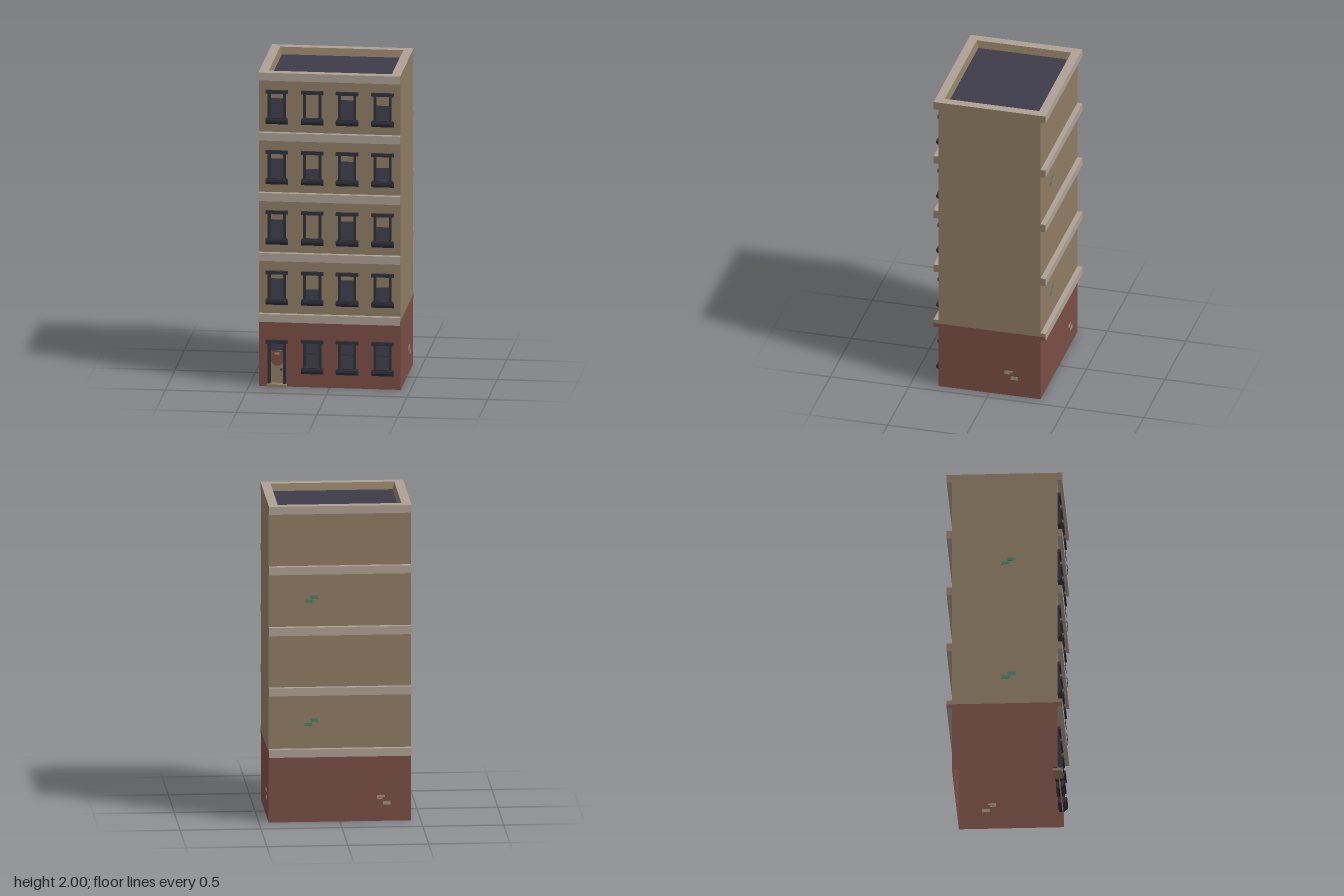
import * as THREE from 'three';

const W = 0.44, D = 0.325, SPLIT = 0.44, TOP = 2, OUT = 0.357;
const COLUMNS = [-0.328, -0.108, 0.108, 0.328];
const SILLS = [0.12, 0.555, 0.938, 1.321, 1.704]; // top of the sill on each storey
const BLINDS = [ // fraction of each window covered by its blind
  [0, 0, 0, 0],
  [0.2, 0.6, 0.2, 0.44],
  [0.25, 1, 0.25, 0.44],
  [0.22, 0.6, 0.27, 0.48],
  [0.22, 1, 0.22, 0.4],
];
const OPEN_H = 0.16;

function mat(name, color, side = THREE.FrontSide) {
  const m = new THREE.MeshStandardMaterial({ color, side });
  m.name = name;
  return m;
}

export function createModel() {
  const tan = mat('tan wall', 0x8f7d64, THREE.DoubleSide);
  const red = mat('red brick', 0x7a4e45, THREE.DoubleSide);
  const stone = mat('pale stone', 0xaea194);
  const roofGrey = mat('roof slate', 0x3d3c48, THREE.DoubleSide);
  const frame = mat('window frame', 0x30313b);
  const glass = mat('dark glass', 0x3f404d, THREE.DoubleSide);
  const paleBrick = mat('pale brick', 0xa39280);
  const green = mat('green brick', 0x4a8068);

  const model = new THREE.Group();
  model.name = 'apartmentBuilding';

  const add = (parent, name, geo, material, x = 0, y = 0, z = 0, ry = 0) => {
    const m = new THREE.Mesh(geo, material);
    m.name = name;
    m.position.set(x, y, z);
    m.rotation.y = ry;
    parent.add(m);
    return m;
  };
  // box given by its x centre, width, and y and z ranges
  const box = (parent, name, material, x, w, y0, y1, z0, z1) =>
    add(parent, name, new THREE.BoxGeometry(w, y1 - y0, z1 - z0), material, x, (y0 + y1) / 2, (z0 + z1) / 2);

  const rect = (Type, x0, x1, y0, y1) => {
    const s = new Type();
    s.moveTo(x0, y0);
    s.lineTo(x1, y0);
    s.lineTo(x1, y1);
    s.lineTo(x0, y1);
    s.closePath();
    return s;
  };

  // hollow walls, open underneath; the front is pierced by the windows and door
  [['groundFloor', red, 0, SPLIT], ['upperFloors', tan, SPLIT, TOP]].forEach(([name, material, y0, y1]) => {
    const h = y1 - y0, mid = (y0 + y1) / 2;
    const face = rect(THREE.Shape, -W, W, y0, y1);
    SILLS.forEach((s, f) => {
      if (s < y0 || s > y1) return;
      COLUMNS.forEach((x, c) => {
        const bottom = f === 0 && c === 0 ? 0.005 : s - 0.01;
        face.holes.push(rect(THREE.Path, x - 0.05, x + 0.05, bottom, s + OPEN_H + 0.005));
      });
    });
    add(model, name + 'FrontWall', new THREE.ShapeGeometry(face), material, 0, 0, D);
    add(model, name + 'BackWall', new THREE.PlaneGeometry(2 * W, h), material, 0, mid, -D, Math.PI);
    for (const s of [-1, 1])
      add(model, name + 'SideWall', new THREE.PlaneGeometry(2 * D, h), material, s * W, mid, 0, s * Math.PI / 2);
  });

  // stone bands on front and back, their ends matching the side walls
  const bands = [[0.415, SPLIT, red], [SPLIT, 0.465, tan], [0.803, 0.853, tan], [1.183, 1.235, tan],
    [1.568, 1.618, tan], [1.95, TOP, tan]];
  for (const [y0, y1, end] of bands)
    for (const s of [-1, 1])
      box(model, 'stoneBand', [end, end, stone, stone, stone, stone], 0, 2 * W, y0, y1,
        s > 0 ? D : -OUT, s > 0 ? OUT : -D);

  // parapet rim and sloping inner faces
  const rim = rect(THREE.Shape, -W, W, -D, D);
  rim.holes.push(rect(THREE.Path, -0.382, 0.382, -0.301, 0.301));
  add(model, 'parapetRim', new THREE.ShapeGeometry(rim).rotateX(-Math.PI / 2), stone, 0, TOP, 0);
  const ROOF = 1.955, corners = [[-1, -1], [1, -1], [1, 1], [-1, 1]], pos = [];
  corners.forEach((a, i) => {
    const b = corners[(i + 1) % 4];
    const hi = ([x, z]) => [x * 0.382, TOP, z * 0.301];
    const lo = ([x, z]) => [x * 0.37, ROOF, z * 0.288];
    pos.push(...hi(a), ...lo(a), ...lo(b), ...hi(a), ...lo(b), ...hi(b));
  });
  const inner = new THREE.BufferGeometry();
  inner.setAttribute('position', new THREE.Float32BufferAttribute(pos, 3));
  inner.computeVertexNormals();
  add(model, 'parapetInside', inner, tan);
  add(model, 'roof', new THREE.PlaneGeometry(0.74, 0.576).rotateX(-Math.PI / 2), roofGrey, 0, ROOF, 0);

  // sill: flat ledge above a bracket that slopes back to the wall
  const sillShape = new THREE.Shape();
  [[0.295, 0], [0.352, 0], [0.352, -0.016], [0.346, -0.02], [0.326, -0.037], [0.295, -0.037]]
    .forEach(([z, y], i) => (i ? sillShape.lineTo(-z, y) : sillShape.moveTo(-z, y)));
  const sillGeo = new THREE.ExtrudeGeometry(sillShape, { depth: 0.138, bevelEnabled: false });
  sillGeo.translate(0, 0, -0.069).rotateY(Math.PI / 2);

  // lintel and jambs shared by windows and door
  const surround = (g, x, bottom, top) => {
    box(g, 'lintel', frame, x, 0.138, top, top + 0.021, 0.295, 0.343);
    for (const s of [-1, 1]) box(g, 'jamb', frame, x + s * 0.048, 0.016, bottom, top, 0.295, 0.334);
  };

  SILLS.forEach((y, f) => COLUMNS.forEach((x, c) => {
    if (f === 0 && c === 0) return;
    const g = new THREE.Group();
    g.name = 'window';
    model.add(g);
    const top = y + OPEN_H;
    surround(g, x, y, top);
    add(g, 'sill', sillGeo, frame, x, y, 0);
    box(g, 'sillLip', frame, x, 0.126, y, y + 0.006, 0.3, 0.34);
    box(g, 'pane', glass, x, 0.09, y, top, 0.3, 0.306);
    const cover = BLINDS[f][c] * OPEN_H;
    if (cover) box(g, 'blind', tan, x, 0.086, top - cover, top, 0.307, 0.311);
    else box(g, 'glazingBar', frame, x, 0.086, y + 0.085, y + 0.091, 0.306, 0.313);
  }));

  // front door with transom, rounded red panel, plate, knob and step
  const door = new THREE.Group();
  door.name = 'frontDoor';
  model.add(door);
  const dx = COLUMNS[0];
  surround(door, dx, 0.018, 0.275);
  box(door, 'doorLeaf', tan, dx, 0.086, 0.018, 0.222, 0.3, 0.308);
  box(door, 'transom', glass, dx, 0.086, 0.222, 0.275, 0.3, 0.306);
  const panel = new THREE.Shape();
  panel.moveTo(0.038, 0.222);
  panel.lineTo(-0.038, 0.222);
  panel.lineTo(-0.038, 0.165);
  panel.absarc(0, 0.165, 0.038, Math.PI, 2 * Math.PI, false);
  add(door, 'doorPanel', new THREE.ShapeGeometry(panel), red, dx, 0, 0.31);
  box(door, 'doorPlate', paleBrick, dx, 0.03, 0.198, 0.211, 0.31, 0.314);
  add(door, 'doorKnob', new THREE.SphereGeometry(0.008, 10, 8), frame, dx + 0.026, 0.105, 0.313);
  box(door, 'doorStep', tan, dx, 0.122, 0, 0.018, 0.295, 0.356);

  // patches of exposed brick: u runs to the right as seen from outside
  const patch = (name, material, bricks, x, y, z, ry) => {
    const g = new THREE.Group();
    g.name = name;
    g.position.set(x, y, z);
    g.rotation.y = ry;
    model.add(g);
    for (const [u, v, w, h] of bricks) add(g, 'brick', new THREE.BoxGeometry(w, h, 0.004), material, u, v, 0);
  };
  const worn = [[-0.017, 0.021, 0.05, 0.012], [-0.024, 0.008, 0.036, 0.01], [0.02, -0.022, 0.048, 0.022]];
  const tinted = [[0.018, 0.012, 0.05, 0.022], [-0.018, -0.014, 0.05, 0.022]];
  patch('wornBricks', paleBrick, worn, W, 0.145, -0.138, Math.PI / 2);
  patch('wornBricks', paleBrick, worn, -0.27, 0.135, -D, Math.PI);
  for (const y of [0.63, 1.407]) {
    patch('greenBricks', green, tinted, 0.175, y, -D, Math.PI);
    patch('greenBricks', green, tinted, -W, y, 0.025, -Math.PI / 2);
  }
  return model;
}
